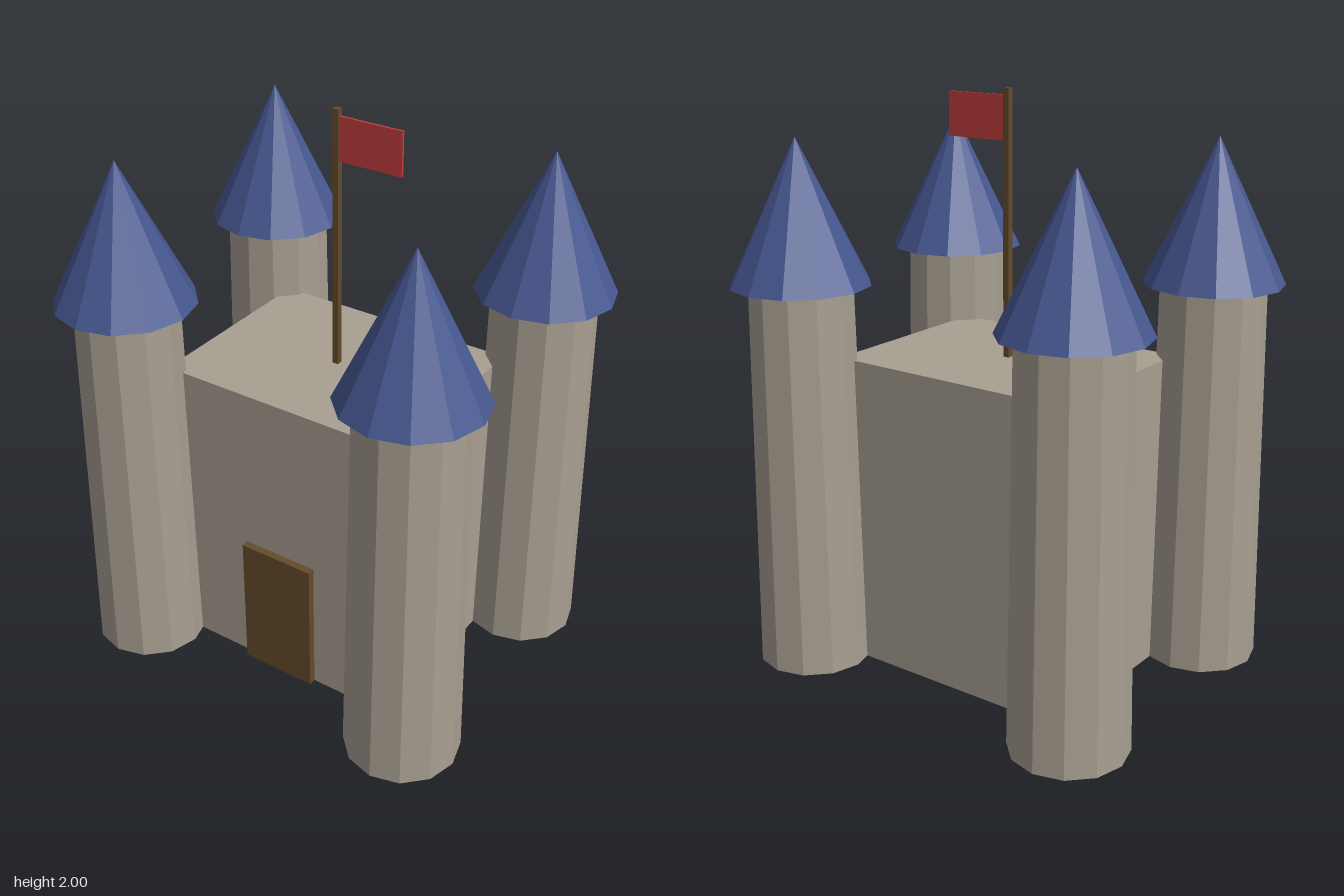
import * as THREE from 'three';

const flat = (name, color) => {
  const m = new THREE.MeshStandardMaterial({ color, flatShading: true });
  m.name = name;
  return m;
};

export function createModel() {
  const castle = new THREE.Group();
  castle.name = 'castle';
  const stone = flat('stone', 0xa89f91);
  const roofBlue = flat('roof blue', 0x465790);
  const wood = flat('wood', 0x654b2b);
  const red = flat('flag red', 0xc43c3c);

  const add = (parent, name, geometry, material, x, y, z) => {
    const mesh = new THREE.Mesh(geometry, material);
    mesh.name = name;
    mesh.position.set(x, y, z);
    parent.add(mesh);
  };

  // Keep and door
  add(castle, 'keep', new THREE.BoxGeometry(0.9, 1.1, 0.7), stone, 0, 0.55, 0);
  add(castle, 'door', new THREE.BoxGeometry(0.28, 0.5, 0.04), wood, 0, 0.25, 0.357);

  // Four tapered corner towers with pointed roofs
  const wall = new THREE.CylinderGeometry(0.18, 0.2, 1.355, 12);
  const roof = new THREE.ConeGeometry(0.24, 0.49, 12);
  for (const sx of [-1, 1]) {
    for (const sz of [-1, 1]) {
      const tower = new THREE.Group();
      tower.name = (sz > 0 ? 'front' : 'back') + (sx > 0 ? 'Left' : 'Right') + 'Tower';
      tower.position.set(sx * 0.55, 0, sz * 0.42);
      add(tower, 'towerWall', wall, stone, 0, 0.6775, 0);
      add(tower, 'towerRoof', roof, roofBlue, 0, 1.6, 0);
      castle.add(tower);
    }
  }

  // Flagpole and flag
  add(castle, 'flagpole', new THREE.BoxGeometry(0.022, 0.9, 0.022), wood, 0, 1.55, 0);
  add(castle, 'flag', new THREE.BoxGeometry(0.24, 0.148, 0.009), red, 0.12, 1.903, 0);
  return castle;
}
